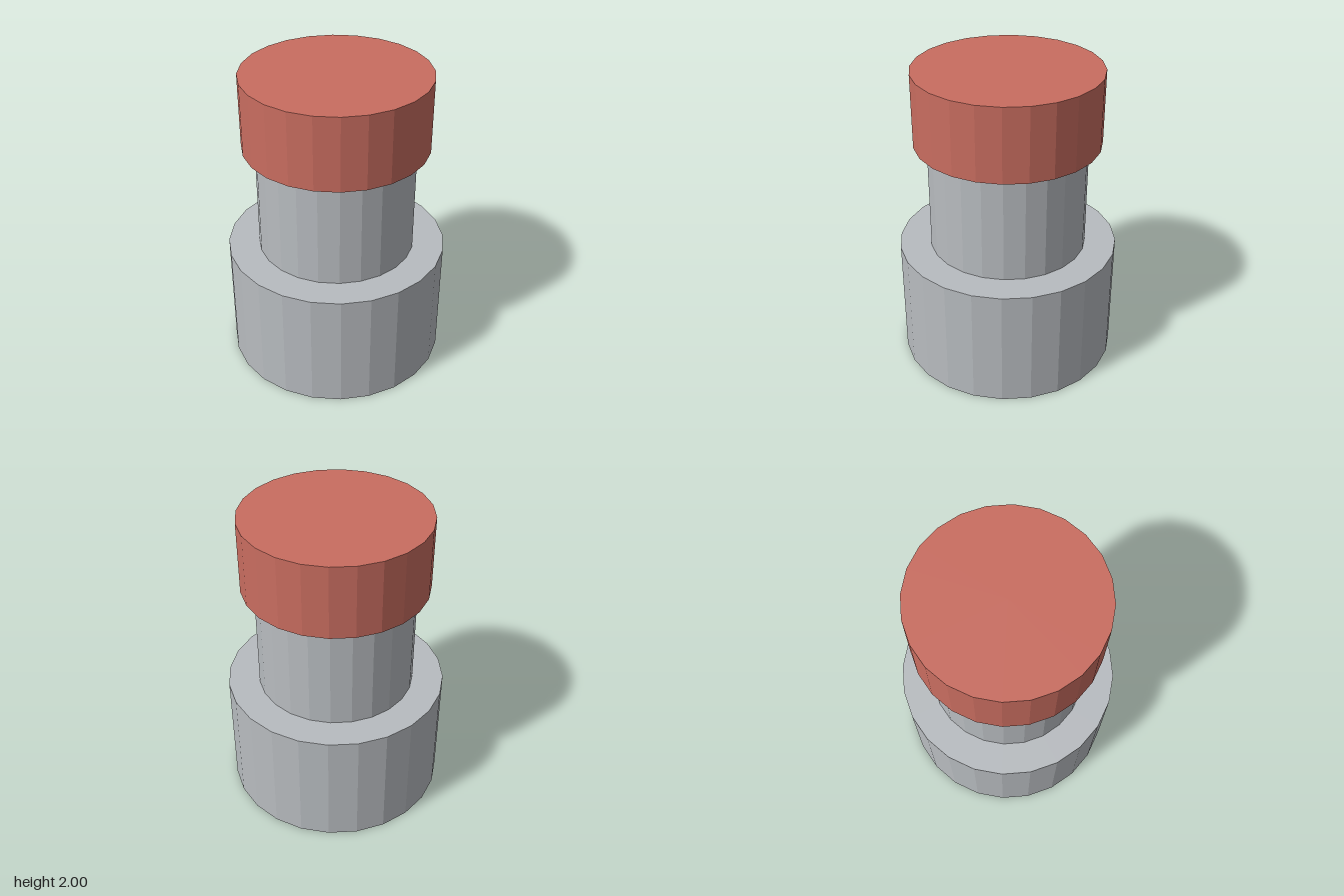
import * as THREE from 'three';

export function createModel() {
  const model = new THREE.Group();
  model.name = 'pushButton';

  const metal = new THREE.MeshStandardMaterial({ color: 0xb8bcc0, flatShading: true });
  metal.name = 'greyMetal';
  const red = new THREE.MeshStandardMaterial({ color: 0xc96d60, flatShading: true });
  red.name = 'redCap';

  // Upright 24-sided cylinder between two heights
  function drum(name, radius, bottom, top, material) {
    const geometry = new THREE.CylinderGeometry(radius, radius, top - bottom, 24);
    const mesh = new THREE.Mesh(geometry, material);
    mesh.name = name;
    mesh.position.y = (bottom + top) / 2;
    model.add(mesh);
  }

  drum('base', 0.72, 0, 0.8, metal);
  drum('neck', 0.516, 0.8, 1.52, metal);
  drum('cap', 0.6, 1.52, 2, red);

  return model;
}
